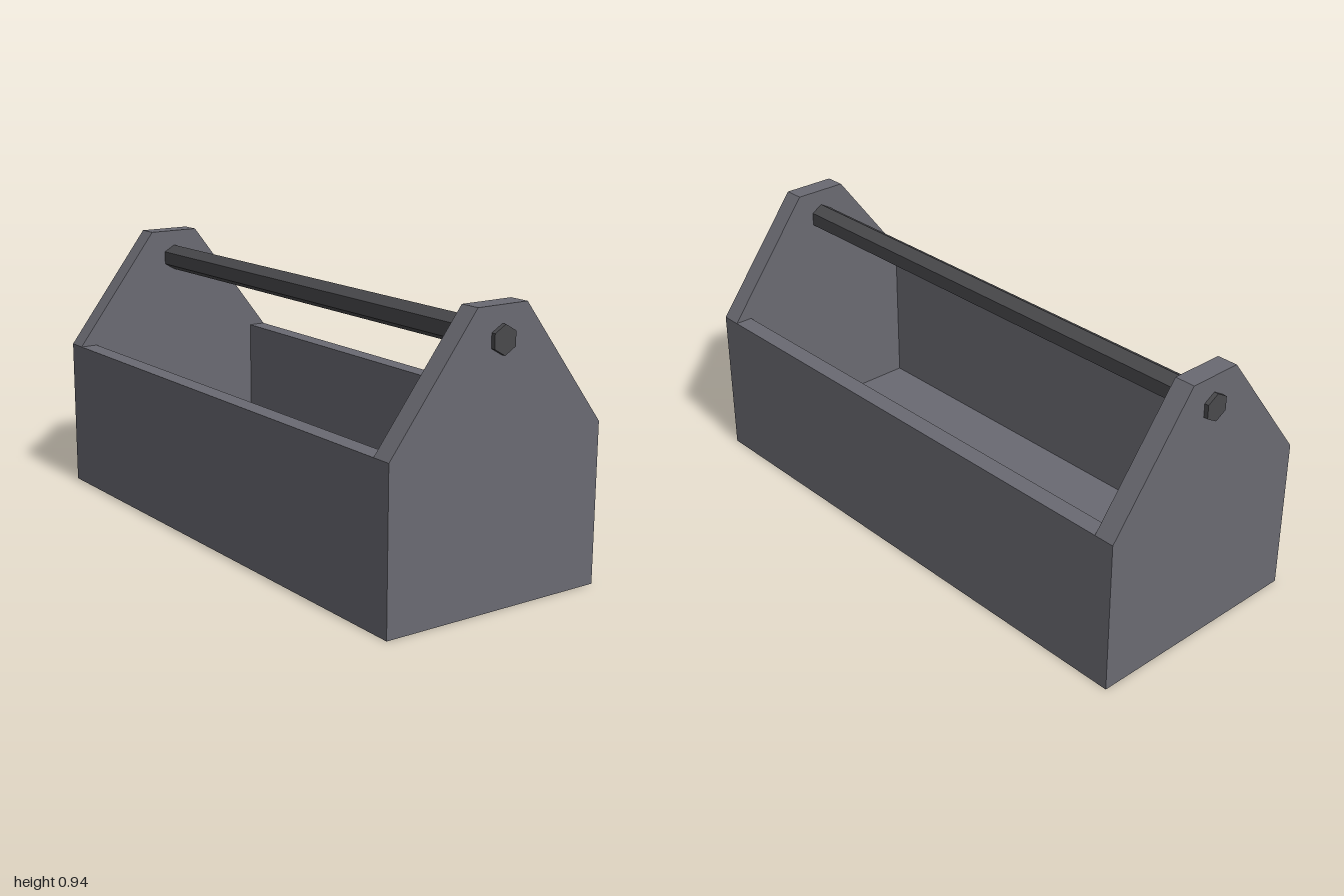
import * as THREE from 'three';

export function createModel() {
  const group = new THREE.Group();
  const bodyGrey = new THREE.MeshStandardMaterial({ color: 0x6a6a72, flatShading: true });
  bodyGrey.name = 'bodyGrey';
  const handleGrey = new THREE.MeshStandardMaterial({ color: 0x49494c, flatShading: true });
  handleGrey.name = 'handleGrey';

  const halfW = 0.41, wall = 0.063, sideH = 0.535;
  const endOuter = 0.985, endInner = 0.913;

  const add = (name, geometry, material, x, y, z) => {
    const mesh = new THREE.Mesh(geometry, material);
    mesh.name = name;
    mesh.position.set(x, y, z);
    group.add(mesh);
    return mesh;
  };

  // gabled end panels
  const gable = new THREE.Shape([
    [-halfW, 0], [halfW, 0], [halfW, sideH],
    [0.095, 0.945], [-0.095, 0.945], [-halfW, sideH],
  ].map(([x, y]) => new THREE.Vector2(x, y)));
  const panel = new THREE.ExtrudeGeometry(gable, { depth: endOuter - endInner, bevelEnabled: false });
  add('frontEndPanel', panel, bodyGrey, 0, 0, endInner);
  add('backEndPanel', panel, bodyGrey, 0, 0, -endOuter);

  // side boards between the end panels
  const board = new THREE.BoxGeometry(wall, sideH, endInner * 2);
  add('leftSideBoard', board, bodyGrey, halfW - wall / 2, sideH / 2, 0);
  add('rightSideBoard', board, bodyGrey, -halfW + wall / 2, sideH / 2, 0);

  // floor
  const floorH = 0.068;
  add('floor', new THREE.BoxGeometry((halfW - wall) * 2, floorH, endInner * 2), bodyGrey, 0, floorH / 2, 0);

  // hexagonal carrying rod, poking out through both ends
  const rod = new THREE.CylinderGeometry(0.047, 0.047, 2, 6).rotateX(Math.PI / 2);
  add('handleRod', rod, handleGrey, 0, 0.842, 0);

  return group;
}
